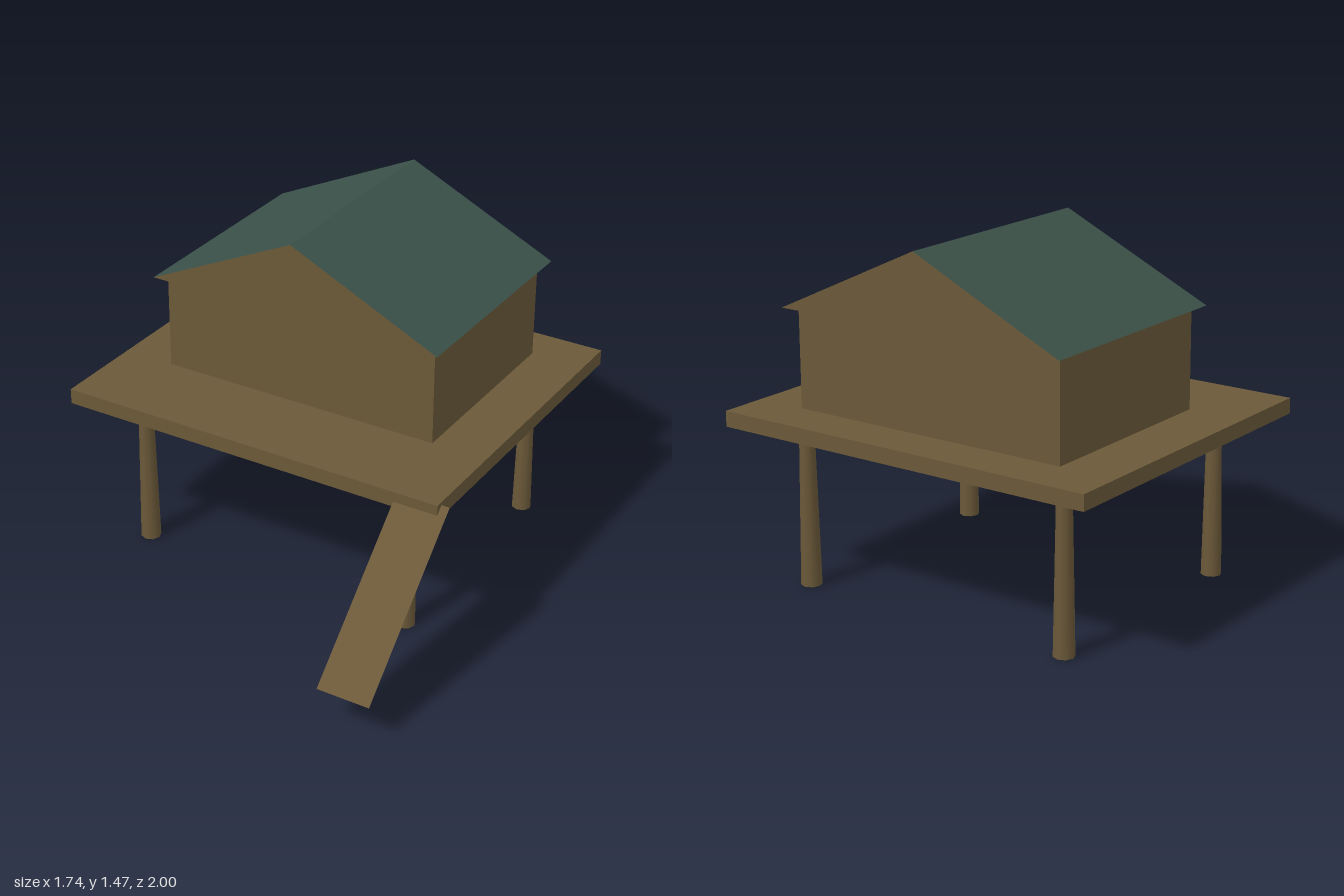
import * as THREE from 'three';

export function createModel() {
  const model = new THREE.Group();
  model.name = 'stiltHut';

  const wood = new THREE.MeshStandardMaterial({ color: 0x6b5939, side: THREE.DoubleSide });
  wood.name = 'brownWood';
  const green = new THREE.MeshStandardMaterial({ color: 0x3a5148 });
  green.name = 'greenRoofing';

  const add = (name, geometry, material) => {
    const mesh = new THREE.Mesh(geometry, material);
    mesh.name = name;
    model.add(mesh);
    return mesh;
  };

  // Box given by its lower and upper corners
  const addBox = (name, [x0, y0, z0], [x1, y1, z1]) =>
    add(name, new THREE.BoxGeometry(x1 - x0, y1 - y0, z1 - z0), wood)
      .position.set((x0 + x1) / 2, (y0 + y1) / 2, (z0 + z1) / 2);

  addBox('deck', [-0.873, 0.673, -1], [0.835, 0.738, 0.447]);
  addBox('walls', [-0.64, 0.744, -0.815], [0.602, 1.158, 0.062]);

  // Gable roof: wooden gable ends, green slopes and underside
  const gable = new THREE.Shape([
    new THREE.Vector2(-0.677, 1.158),
    new THREE.Vector2(0.637, 1.158),
    new THREE.Vector2(-0.02, 1.466),
  ]);
  const roof = new THREE.ExtrudeGeometry(gable, { depth: 0.985, bevelEnabled: false });
  add('roof', roof, [wood, green]).position.z = -0.873;

  // Tapered stilts
  for (const x of [-0.643, 0.602]) {
    for (const z of [0.247, -0.791]) {
      add('stilt', new THREE.CylinderGeometry(0.03, 0.043, 0.69, 8), wood).position.set(x, 0.345, z);
    }
  }

  // Sloping entry ramp, a single thin sheet from the deck down to the front
  const top = { y: 0.725, z: 0.415 };
  const foot = { y: 0.172, z: 1 };
  const length = Math.hypot(top.y - foot.y, foot.z - top.z);
  const ramp = add('ramp', new THREE.PlaneGeometry(0.225, length), wood);
  ramp.position.set(0.758, (top.y + foot.y) / 2, (top.z + foot.z) / 2);
  ramp.rotation.x = -Math.atan2(foot.z - top.z, top.y - foot.y);

  return model;
}
